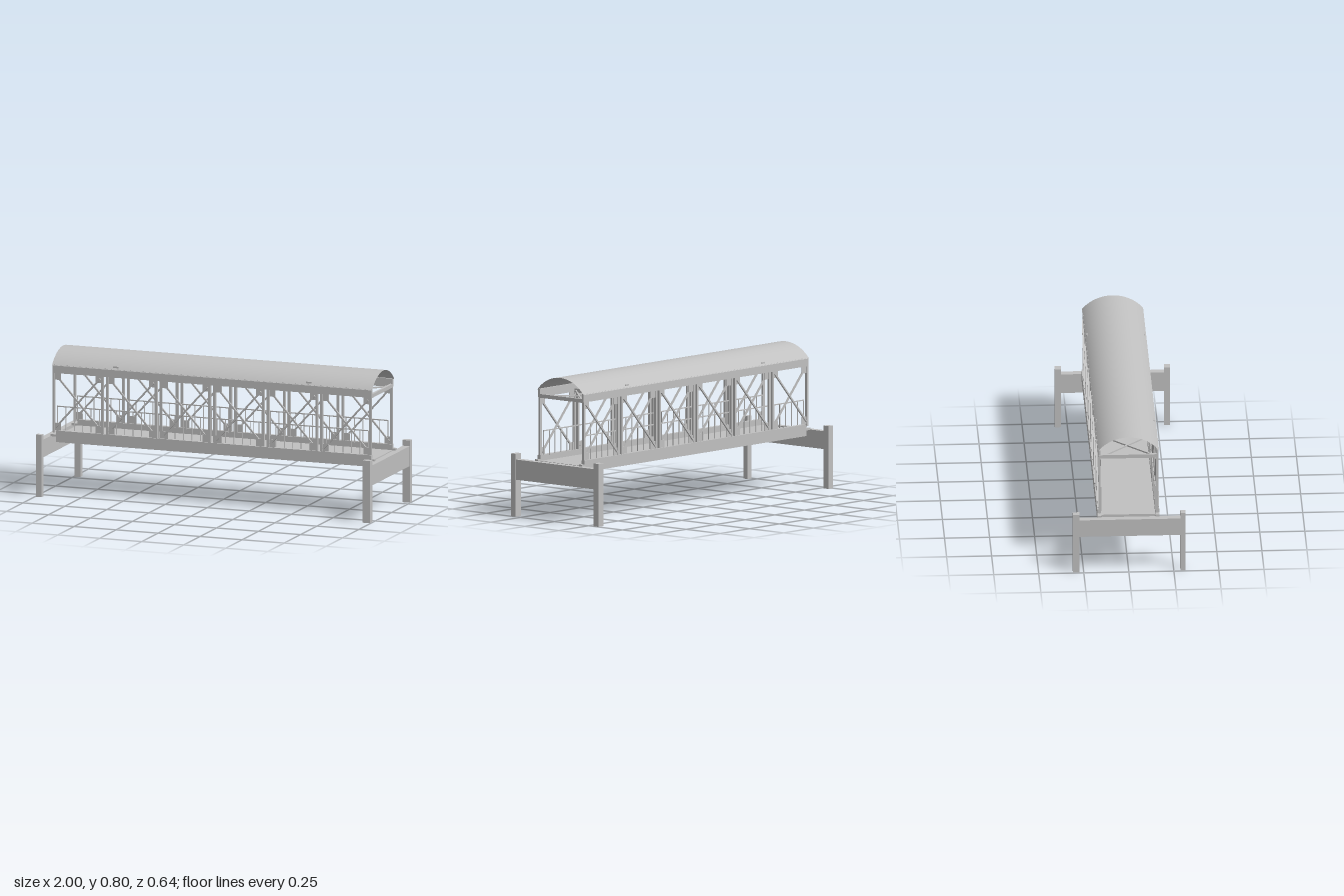
import * as THREE from 'three';

export function createModel() {
  const model = new THREE.Group();
  model.name = 'coveredFootbridge';
  const steel = new THREE.MeshStandardMaterial({ color: 0xc0c0c0 });
  steel.name = 'lightGrey';
  const roofGrey = new THREE.MeshStandardMaterial({ color: 0xc0c0c0, side: THREE.DoubleSide });
  roofGrey.name = 'roofGrey';

  const group = (name) => {
    const g = new THREE.Group();
    g.name = name;
    model.add(g);
    return g;
  };
  // Box given by its min and max on each axis
  const box = (parent, name, x0, x1, y0, y1, z0, z1) => {
    const m = new THREE.Mesh(new THREE.BoxGeometry(x1 - x0, y1 - y0, z1 - z0), steel);
    m.position.set((x0 + x1) / 2, (y0 + y1) / 2, (z0 + z1) / 2);
    m.name = name;
    parent.add(m);
    return m;
  };
  // Square bar between two points
  const bar = (parent, name, a, b, w, d) => {
    const p = new THREE.Vector3(...a), q = new THREE.Vector3(...b);
    const m = new THREE.Mesh(new THREE.BoxGeometry(w, d, p.distanceTo(q)), steel);
    m.position.copy(p).add(q).multiplyScalar(0.5);
    m.lookAt(m.position.clone().add(q.sub(p)));
    m.name = name;
    parent.add(m);
  };

  // Supports: two posts and a crosshead at each end
  const rightPier = group('rightPier');
  box(rightPier, 'pierPost', 0.952, 0.997, 0, 0.352, 0.287, 0.32);
  box(rightPier, 'pierPost', 0.952, 0.997, 0, 0.352, -0.32, -0.285);
  box(rightPier, 'crosshead', 0.955, 0.995, 0.207, 0.32, -0.286, 0.288);
  const leftPier = group('leftPier');
  box(leftPier, 'pierPost', -0.995, -0.96, 0, 0.352, 0.287, 0.315);
  box(leftPier, 'pierPost', -0.995, -0.96, 0, 0.352, -0.31, -0.273);
  box(leftPier, 'crosshead', -1, -0.962, 0.22, 0.32, -0.275, 0.288);

  // Deck between the girders
  const deck = group('deck');
  box(deck, 'floorPlate', -0.93, 0.945, 0.312, 0.32, -0.152, 0.152);
  for (const z of [-0.161, 0.161]) {
    box(deck, 'girder', -0.93, 0.945, 0.287, 0.352, z - 0.011, z + 0.011);
    box(deck, 'bearing', -0.965, -0.93, 0.318, 0.33, z - 0.011, z + 0.011);
    box(deck, 'bearing', 0.945, 0.965, 0.318, 0.33, z - 0.011, z + 0.011);
  }

  // Panel limits along the bridge
  const panels = [];
  for (let i = 0; i < 6; i++) {
    const c = -0.8 + i * 0.319;
    panels.push([c - 0.148, c + 0.142]);
  }

  // Floor and ceiling cross members with wind bracing
  const underBracing = group('floorBracing');
  const roofBracing = group('roofBracing');
  panels.forEach(([x0, x1], i) => {
    const a = Math.max(x0 - 0.014, -0.925), b = x1 + 0.014;
    box(underBracing, 'floorBeam', a, a + 0.016, 0.29, 0.312, -0.152, 0.152);
    if (i === 5) box(underBracing, 'floorBeam', 0.927, 0.943, 0.29, 0.312, -0.152, 0.152);
    for (const s of [-1, 1]) {
      bar(underBracing, 'floorDiagonal', [a, 0.303, -0.15 * s], [b, 0.303, 0.15 * s], 0.01, 0.01);
      bar(roofBracing, 'roofDiagonal', [x0, 0.682, -0.15 * s], [x1, 0.682, 0.15 * s], 0.008, 0.008);
    }
    for (const x of [x0, x1]) box(roofBracing, 'roofBeam', x - 0.007, x + 0.007, 0.673, 0.694, -0.166, 0.166);
  });

  // Side trusses with railings
  for (const s of [-1, 1]) {
    const truss = group(s > 0 ? 'frontTruss' : 'backTruss');
    const zBox = (name, x0, x1, y0, y1, zi, zo) =>
      box(truss, name, x0, x1, y0, y1, Math.min(s * zi, s * zo), Math.max(s * zi, s * zo));
    zBox('topChord', -0.953, 0.945, 0.676, 0.723, 0.155, 0.167);
    for (const [x0, x1] of panels) {
      for (const x of [x0, x1]) {
        zBox('trussPost', x - 0.007, x + 0.007, 0.34, 0.68, 0.154, 0.167);
        const inward = x === x0 ? 1 : -1;
        const g0 = Math.min(x, x + inward * 0.042), g1 = Math.max(x, x + inward * 0.042);
        zBox('gussetPlate', g0, g1, 0.352, 0.394, 0.159, 0.163);
        zBox('gussetPlate', g0, g1, 0.638, 0.676, 0.159, 0.163);
      }
      bar(truss, 'diagonal', [x0 + 0.012, 0.368, s * 0.167], [x1 - 0.012, 0.663, s * 0.167], 0.009, 0.009);
      bar(truss, 'diagonal', [x0 + 0.012, 0.663, s * 0.155], [x1 - 0.012, 0.368, s * 0.155], 0.009, 0.009);
    }
    zBox('handrail', -0.932, 0.92, 0.483, 0.489, 0.148, 0.153);
    for (let i = 0; i <= 37; i++) {
      const x = -0.93 + i * 0.05;
      zBox('baluster', x - 0.002, x + 0.002, 0.345, 0.485, 0.149, 0.153);
    }
    // Small tabs breaking through the roof edge
    for (const x of [-0.58, 0.57]) zBox('roofTab', x - 0.016, x + 0.016, 0.72, 0.738, 0.157, 0.161);
  }

  // Curved roof sheet
  const R = 0.2206, half = Math.asin(0.17 / R);
  const sheet = new THREE.CylinderGeometry(R, R, 1.905, 40, 1, true, Math.PI / 2 - half, half * 2);
  sheet.rotateZ(Math.PI / 2);
  const roof = new THREE.Mesh(sheet, roofGrey);
  roof.name = 'roof';
  roof.position.set(-0.003, 0.799 - R, 0);
  model.add(roof);

  return model;
}
